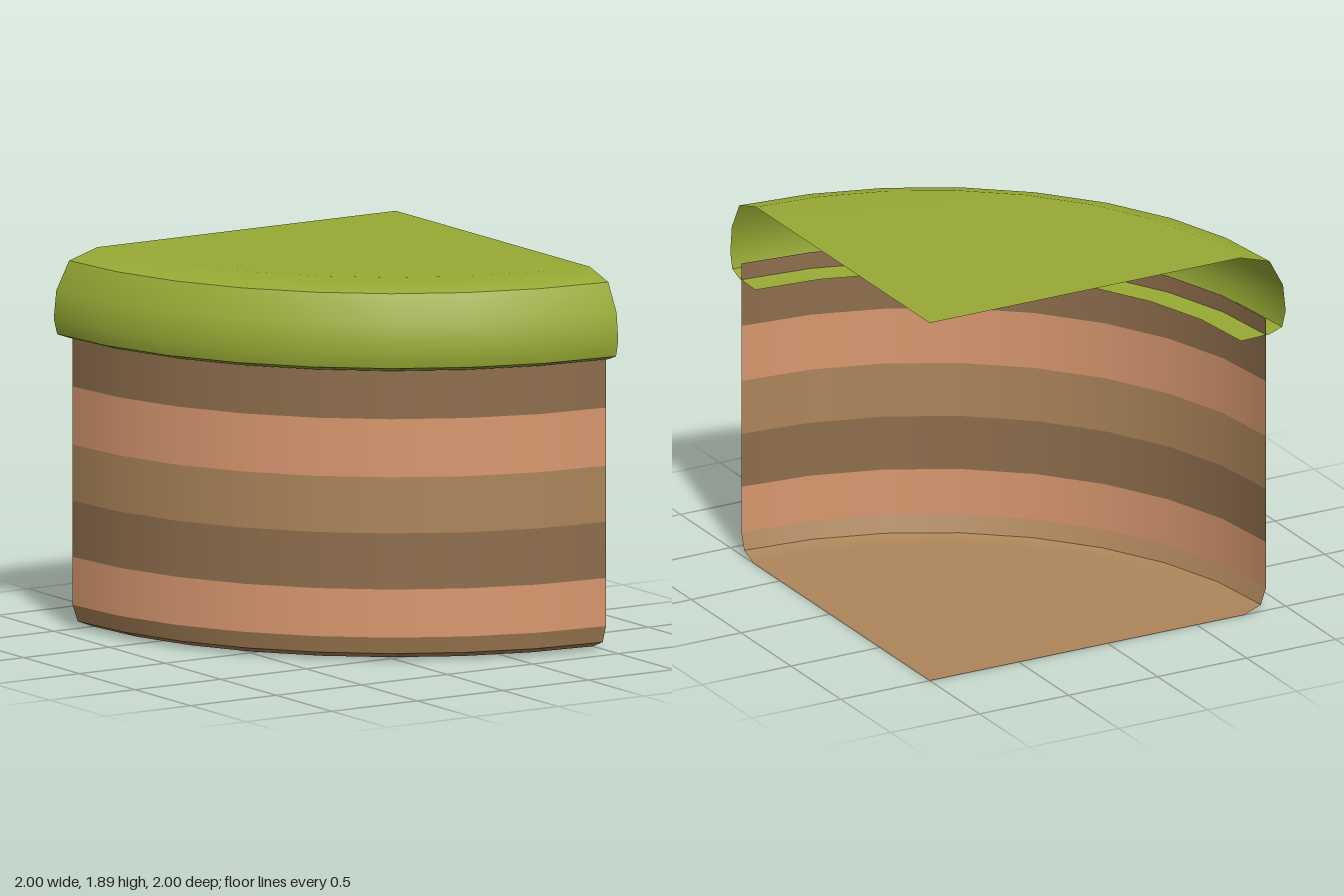
import * as THREE from 'three';

// Quarter turn about the vertical axis, open on its two cut sides
function quarter(name, color, profile) {
  const points = profile.map(([r, y]) => new THREE.Vector2(r, y));
  const geometry = new THREE.LatheGeometry(points, 8, -Math.PI / 2, Math.PI / 2);
  const material = new THREE.MeshStandardMaterial({ color, side: THREE.DoubleSide });
  const mesh = new THREE.Mesh(geometry, material);
  mesh.name = name;
  return mesh;
}

export function createModel() {
  const model = new THREE.Group();
  model.name = 'quarterDrum';
  const pink = 0xd9986f, tan = 0xad855a, brown = 0x8f6e4d, green = 0x98aa35;

  // Floor and its rounded lower rim
  const base = new THREE.Group();
  base.name = 'base';
  base.add(
    quarter('floor', tan, [[0, 0], [1.77, 0], [1.86, 0.035]]),
    quarter('lowerRim', tan, [[1.86, 0.035], [1.89, 0.12]])
  );

  // Striped wall, from the bottom band to the top one
  const wall = new THREE.Group();
  wall.name = 'wall';
  const heights = [0.12, 0.36, 0.64, 0.92, 1.21, 1.54];
  [pink, brown, tan, pink, brown].forEach((color, i) => {
    wall.add(quarter(`band${i + 1}`, color, [[1.89, heights[i]], [1.89, heights[i + 1]]]));
  });

  // Overhanging rounded lid with a lip turned in under it
  const lid = new THREE.Group();
  lid.name = 'lid';
  lid.add(
    quarter('lidLip', green, [[1.75, 1.45], [1.91, 1.455], [1.98, 1.48]]),
    quarter('lidSide', green, [[1.98, 1.48], [2, 1.56], [1.985, 1.7], [1.91, 1.84]]),
    quarter('lidTop', green, [[1.91, 1.84], [1.745, 1.89], [0, 1.89]])
  );

  // The turning axis stands at the back left corner
  for (const part of [base, wall, lid]) {
    part.position.set(1, 0, -1);
    model.add(part);
  }
  return model;
}
